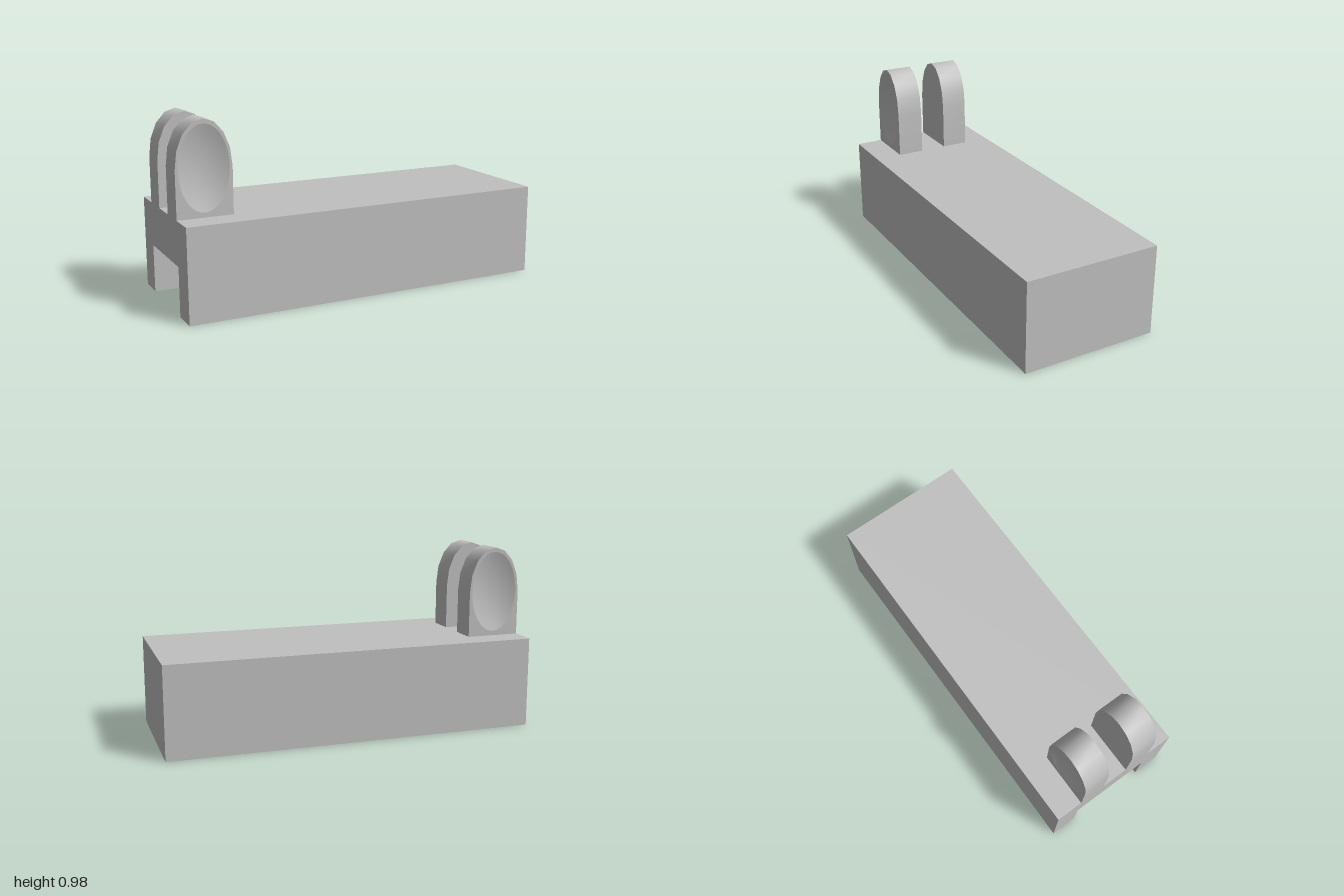
import * as THREE from 'three';
import { toCreasedNormals } from 'three/addons/utils/BufferGeometryUtils.js';

const HALF_DEPTH = 0.368, HEIGHT = 0.49, WALL = 0.147, CHANNEL = 0.257;
const LUG_X = -0.853, LUG_RX = 0.147, LUG_RY = 0.245, LUG_THICK = 0.147;
const DISH_DEPTH = 0.03;

export function createModel() {
  const model = new THREE.Group();
  model.name = 'hingedBlock';
  const grey = new THREE.MeshStandardMaterial({ color: 0xc0c0c0 });
  grey.name = 'light grey';

  const add = (parent, name, geometry, x = 0, y = 0, z = 0) => {
    const mesh = new THREE.Mesh(geometry, grey);
    mesh.name = name;
    mesh.position.set(x, y, z);
    parent.add(mesh);
    return mesh;
  };

  // Solid upper block
  add(model, 'topBlock', new THREE.BoxGeometry(2, HEIGHT - CHANNEL, HALF_DEPTH * 2),
    0, (HEIGHT + CHANNEL) / 2, 0);

  // U-shaped skirt: channel open underneath and at the -x end
  const inner = HALF_DEPTH - WALL;
  const skirt = new THREE.Shape([
    [-1, -HALF_DEPTH], [1, -HALF_DEPTH], [1, HALF_DEPTH], [-1, HALF_DEPTH],
    [-1, inner], [1 - WALL, inner], [1 - WALL, -inner], [-1, -inner],
  ].map(([x, y]) => new THREE.Vector2(x, y)));
  const skirtGeo = new THREE.ExtrudeGeometry(skirt, { depth: CHANNEL, bevelEnabled: false });
  skirtGeo.rotateX(-Math.PI / 2);
  add(model, 'channelWalls', skirtGeo);

  // Pegs under the channel ceiling
  for (const x of [0.256, -0.484]) {
    add(model, 'peg', new THREE.CylinderGeometry(0.147, 0.147, CHANNEL, 32), x, CHANNEL / 2, 0);
  }

  // Arched lug outline, centred on its elliptical top
  const outline = [new THREE.Vector2(-LUG_RX, -LUG_RY), new THREE.Vector2(LUG_RX, -LUG_RY)];
  for (let i = 0; i <= 8; i++) {
    const a = (i / 8) * Math.PI;
    outline.push(new THREE.Vector2(Math.cos(a) * LUG_RX, Math.sin(a) * LUG_RY));
  }
  const dishX = LUG_RX * 0.9, dishY = LUG_RY * 0.9;
  const ellipse = (target) => target.absellipse(0, 0, dishX, dishY, 0, Math.PI * 2, false, 0);
  const arch = new THREE.Shape(outline);
  arch.holes.push(ellipse(new THREE.Path()));
  const lugGeo = toCreasedNormals(
    new THREE.ExtrudeGeometry(arch, { depth: LUG_THICK, bevelEnabled: false, curveSegments: 16 }), 0.7);

  // Shallow hollow on the outer face, flat cover on the inner face
  const profile = [];
  for (let i = 8; i >= 0; i--) {
    const r = i / 8;
    profile.push(new THREE.Vector2(r, DISH_DEPTH * (r * r - 1)));
  }
  const dishGeo = new THREE.LatheGeometry(profile, 32);
  dishGeo.rotateX(Math.PI / 2).scale(dishX, dishY, 1);
  const coverGeo = new THREE.ShapeGeometry(ellipse(new THREE.Shape()), 16);
  coverGeo.rotateY(Math.PI);

  // Two lugs, back to back
  for (const [name, turn] of [['frontLug', 0], ['backLug', Math.PI]]) {
    const lug = new THREE.Group();
    lug.name = name;
    lug.position.set(LUG_X, HEIGHT + LUG_RY, 0);
    lug.rotation.y = turn;
    const gap = LUG_THICK / 2;
    add(lug, 'lugBody', lugGeo, 0, 0, gap);
    add(lug, 'lugDish', dishGeo, 0, 0, gap + LUG_THICK);
    add(lug, 'lugInnerFace', coverGeo, 0, 0, gap);
    model.add(lug);
  }
  return model;
}
